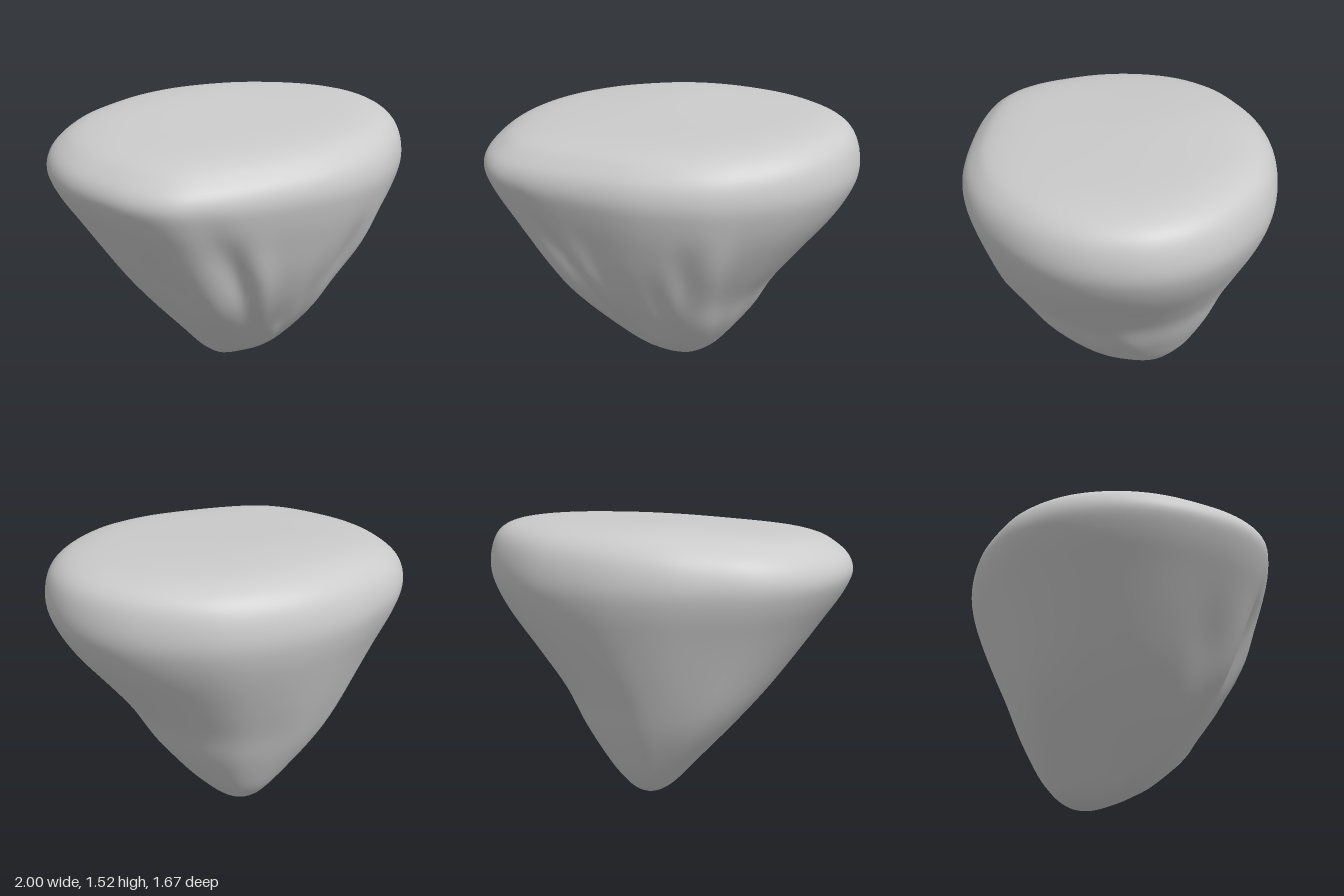
import * as THREE from 'three';

// Outline of the widest section, as [x, z] around the stone
const OUTLINE = [
  [1, 0], [0.95, 0.25], [0.83, 0.46], [0.65, 0.63], [0.4, 0.77], [0.1, 0.83], [-0.2, 0.81],
  [-0.6, 0.72], [-0.78, 0.63], [-0.9, 0.47], [-0.97, 0.25], [-1, 0], [-0.96, -0.25],
  [-0.85, -0.48], [-0.65, -0.67], [-0.42, -0.77], [-0.18, -0.83], [0.13, -0.83],
  [0.48, -0.73], [0.68, -0.6], [0.87, -0.4], [0.97, -0.2],
];

// Sections from the tip to the crown: [y, xMin, xMax, zMin, zMax]
const SECTIONS = [
  [0, 0.05, 0.05, -0.17, -0.17], [0.015, -0.01, 0.11, -0.24, -0.09],
  [0.05, -0.07, 0.165, -0.3, 0], [0.1, -0.125, 0.22, -0.35, 0.1],
  [0.2, -0.215, 0.31, -0.42, 0.25], [0.4, -0.395, 0.45, -0.52, 0.43],
  [0.6, -0.565, 0.565, -0.605, 0.575], [0.8, -0.715, 0.72, -0.69, 0.685],
  [1, -0.855, 0.88, -0.765, 0.765], [1.14, -0.95, 0.965, -0.81, 0.81],
  [1.25, -0.998, 1, -0.826, 0.83], [1.35, -0.98, 0.985, -0.803, 0.81],
  [1.42, -0.915, 0.935, -0.75, 0.755], [1.465, -0.82, 0.84, -0.67, 0.68],
  [1.49, -0.65, 0.67, -0.54, 0.53], [1.5, -0.35, 0.35, -0.3, 0.26], [1.503, 0, 0, 0, 0],
];

// Furrows and ridges: [angle in degrees (90 = front), width, height, depth of cut, vertical reach]
const FURROWS = [
  [126, 6, 0.82, 0.06, 0.24], [114, 6, 0.75, -0.035, 0.22], [138, 6, 0.6, -0.02, 0.22],
  [152, 8, 0.7, 0.035, 0.2], [94, 9, 0.31, -0.06, 0.09], [76, 8, 0.6, 0.03, 0.22],
  [65, 6, 0.8, 0.035, 0.18], [54, 6, 0.85, -0.03, 0.18], [38, 10, 0.55, 0.04, 0.22],
  [20, 9, 0.5, 0.035, 0.18], [4, 8, 0.45, -0.02, 0.18], [-95, 11, 0.5, -0.015, 0.25],
];

// How far the lower body bulges between the axes: [angle at the bulge, amount]
const BULGES = [[45, 0.06], [135, 0.02], [-135, 0.075], [-45, 0.02]];

const bell = (t) => Math.exp(-t * t);
const turn = (a, b) => THREE.MathUtils.euclideanModulo(a - b + 180, 360) - 180;

// Radial scale that carves the sides
function relief(angle, y) {
  let scale = 1;
  for (const [deg, amount] of BULGES) {
    scale += amount * bell(turn(angle, deg) / 28) * bell((y - 0.42) / 0.3);
  }
  for (const [deg, width, height, depth, reach] of FURROWS) {
    // each furrow leans a little as it climbs
    const lean = (y - height) * 12;
    scale -= depth * bell(turn(angle, deg + lean) / width) * bell((y - height) / reach);
  }
  return scale;
}

function stoneGeometry(around = 140, steps = 4) {
  const outline = new THREE.CatmullRomCurve3(
    OUTLINE.map(([x, z]) => new THREE.Vector3(x, 0, z)), true).getSpacedPoints(around);

  // Smooth interpolation between the sections
  const tracks = [1, 2, 3, 4].map((k) =>
    new THREE.SplineCurve(SECTIONS.map((s) => new THREE.Vector2(s[0], s[k]))));
  const rings = (SECTIONS.length - 1) * steps;
  const positions = [];
  const indices = [];

  for (let r = 0; r <= rings; r++) {
    const points = tracks.map((t) => t.getPoint(r / rings));
    const y = points[0].x;
    const [x0, x1, z0, z1] = points.map((p) => p.y);
    const crown = THREE.MathUtils.smoothstep(y, 1.2, 1.44);
    for (let i = 0; i < around; i++) {
      const p = outline[i];
      const k = relief(THREE.MathUtils.radToDeg(Math.atan2(p.z, p.x)), y);
      const x = (x0 + x1) / 2 + p.x * k * (x1 - x0) / 2;
      const z = (z0 + z1) / 2 + (p.z / 0.83) * k * (z1 - z0) / 2;
      // the crown slopes down towards -x and the front, with a low swell at the back
      const swell = 0.018 * bell(Math.hypot(x + 0.1, z + 0.35) / 0.4);
      positions.push(x, y + crown * (0.038 * x - 0.024 * z + swell), z);
    }
  }

  // Skin between rings; the end rings are points, so they take one triangle per step
  for (let r = 0; r < rings; r++) {
    for (let i = 0; i < around; i++) {
      const a = r * around + i;
      const b = r * around + (i + 1) % around;
      const c = a + around;
      const d = b + around;
      if (r > 0) indices.push(a, d, b);
      if (r < rings - 1) indices.push(a, c, d);
    }
  }

  const geometry = new THREE.BufferGeometry();
  geometry.setAttribute('position', new THREE.Float32BufferAttribute(positions, 3));
  geometry.setIndex(indices);
  geometry.computeVertexNormals();
  return geometry;
}

export function createModel() {
  const group = new THREE.Group();
  group.name = 'stone';
  const body = new THREE.Mesh(stoneGeometry(), new THREE.MeshStandardMaterial({ color: 0xcccccc }));
  body.name = 'stoneBody';
  group.add(body);
  return group;
}
